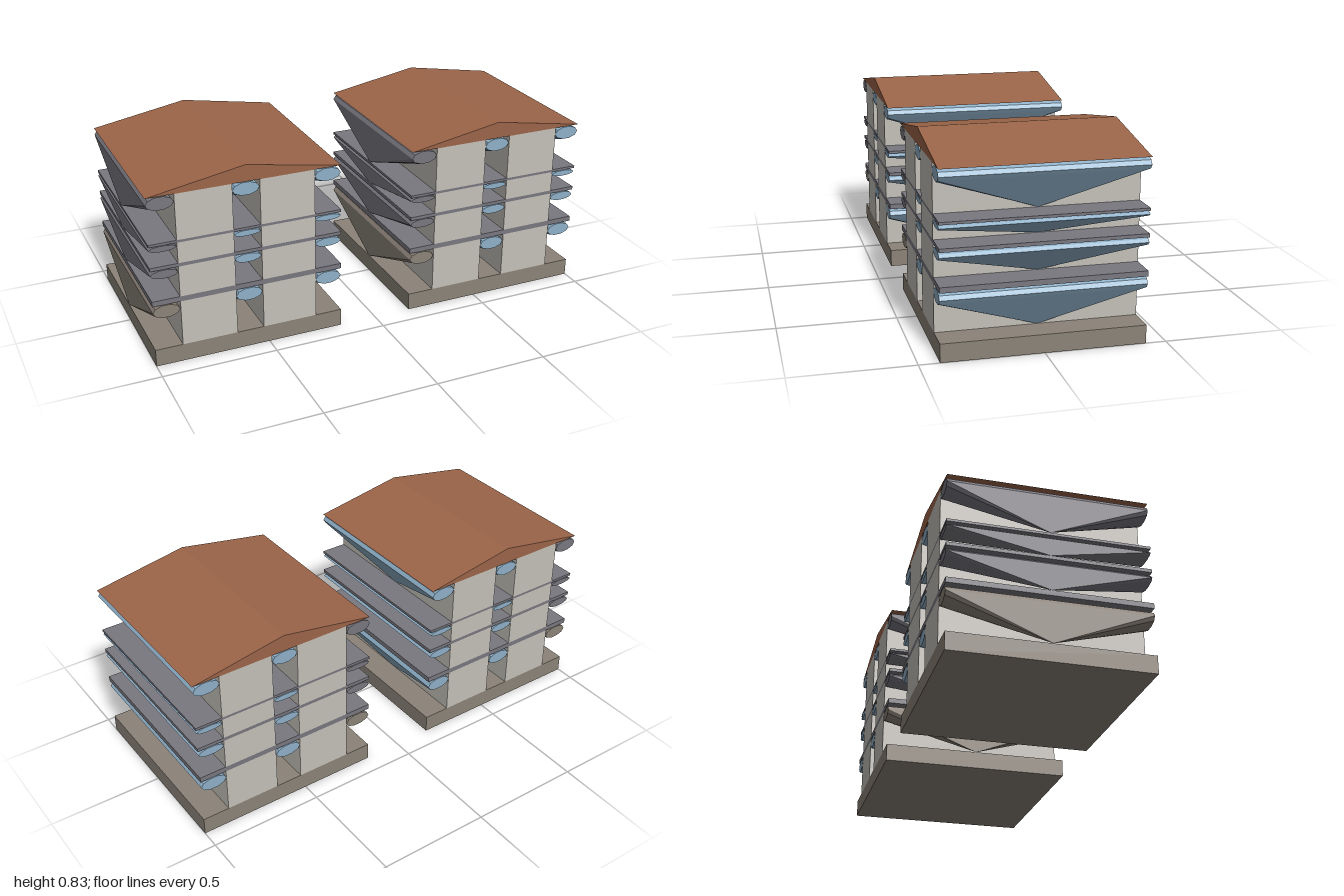
import * as THREE from 'three';
import { ConvexGeometry } from 'three/addons/geometries/ConvexGeometry.js';

const W = 0.834, D = 0.832;          // building width and depth
const GAP = 0.118, WALL = (W - 3 * GAP) / 2;

const mat = (color) => new THREE.MeshStandardMaterial({ color, flatShading: true, side: THREE.DoubleSide });
const mats = {
  base: mat(0x8c8378), slab: mat(0x7a7880), wall: mat(0xc4c0b9),
  glass: mat(0x8fb0c8), roof: mat(0x9c6549),
};

// Floor bottoms and tops; slabs fill the spaces between them
const floors = [[0.077, 0.28], [0.303, 0.44], [0.455, 0.547], [0.558, 0.76]];

function add(group, name, geometry, material, x = 0, y = 0, z = 0) {
  const mesh = new THREE.Mesh(geometry, material);
  mesh.name = name;
  mesh.position.set(x, y, z);
  group.add(mesh);
  return mesh;
}

function box(group, name, material, x, y0, y1, w) {
  return add(group, name, new THREE.BoxGeometry(w, y1 - y0, D), material, x, (y0 + y1) / 2);
}

// Unit bay: long rounded bar under the ceiling, tapering to one point at the floor
function bayGeometry() {
  const points = [new THREE.Vector3(0, 0, 0)];
  const sides = 10;
  for (const z of [-0.5, 0.5]) {
    for (let i = 0; i < sides; i++) {
      const a = (i / sides) * Math.PI * 2;
      points.push(new THREE.Vector3(0.5 + 0.5 * Math.cos(a), 0.855 + 0.145 * Math.sin(a), z));
    }
  }
  return new ConvexGeometry(points);
}

// Low gable roof with its ridge along z
function roofGeometry() {
  const shape = new THREE.Shape();
  shape.moveTo(-W / 2, 0);
  shape.lineTo(W / 2, 0);
  shape.lineTo(0, 0.073);
  shape.closePath();
  return new THREE.ExtrudeGeometry(shape, { depth: D, bevelEnabled: false }).translate(0, 0, -D / 2);
}

function createBuilding() {
  const building = new THREE.Group();
  building.name = 'building';
  const bay = bayGeometry();

  box(building, 'base', mats.base, 0, 0, floors[0][0], W);
  floors.forEach(([y0, y1], level) => {
    // Two wall blocks per floor
    for (const side of [-1, 1]) {
      box(building, 'wallBlock', mats.wall, side * (GAP + WALL) / 2, y0, y1, WALL);
    }
    // Tapered bays in the three openings; the outer right one matches the floor below it
    for (let i = 0; i < 3; i++) {
      const material = i > 0 ? mats.glass : level === 0 ? mats.base : mats.slab;
      const mesh = add(building, 'windowBay', bay, material, -W / 2 + i * (GAP + WALL), y0);
      mesh.scale.set(GAP - 0.002, y1 - y0 - 0.002, D);
    }
    if (level < 3) box(building, 'floorSlab', mats.slab, 0, y1, floors[level + 1][0], W);
  });
  add(building, 'roof', roofGeometry(), mats.roof, 0, floors[3][1]);
  return building;
}

export function createModel() {
  const model = new THREE.Group();
  model.name = 'twinBuildings';
  for (const side of [-1, 1]) {
    const building = createBuilding();
    building.position.x = side * (1 - W / 2);
    model.add(building);
  }
  return model;
}
